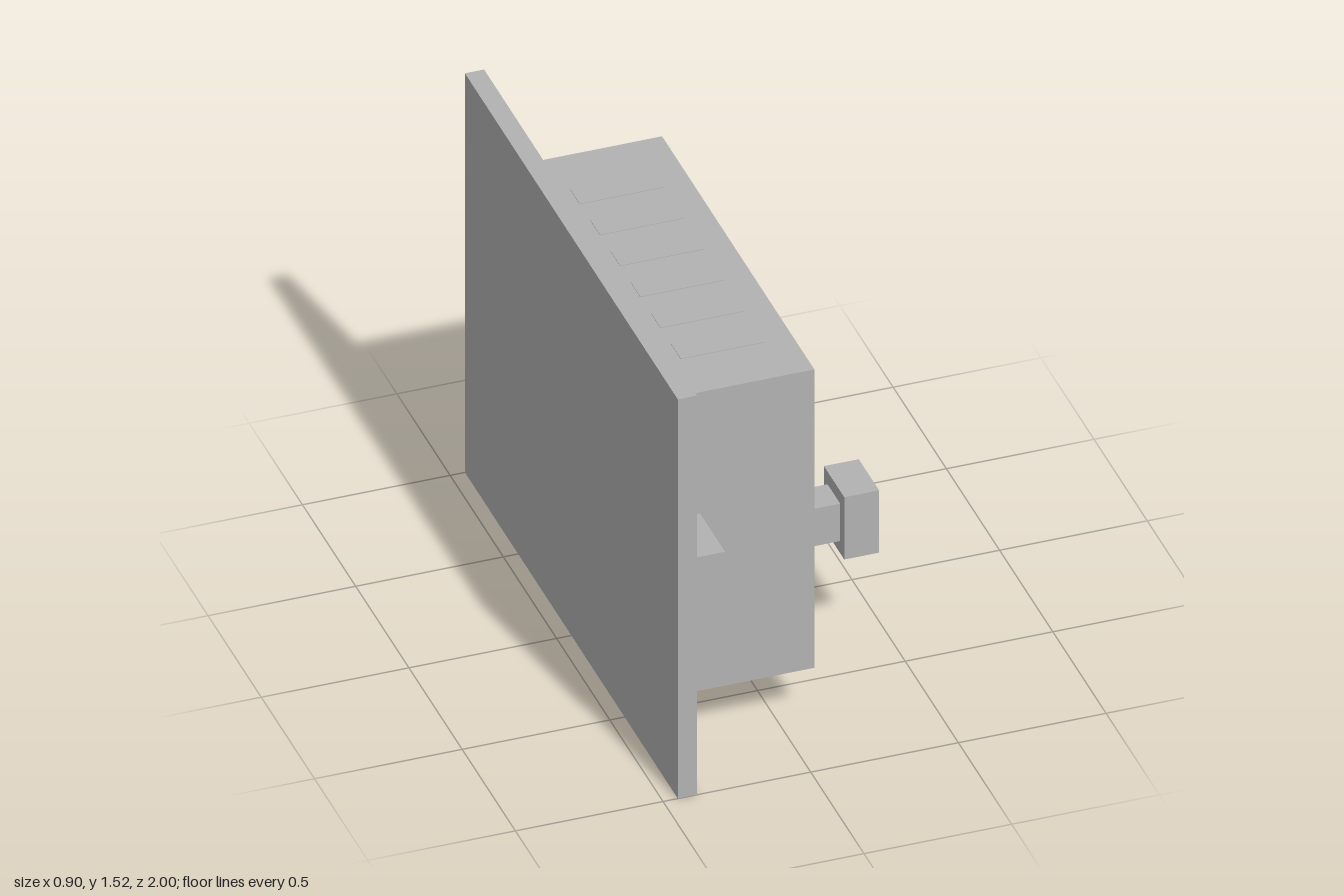
import * as THREE from 'three';

export function createModel() {
  const model = new THREE.Group();
  model.name = 'wallControlBox';
  const grey = new THREE.MeshStandardMaterial({ color: 0xb2b2b2 });
  grey.name = 'grey';

  // Box given by its extents on each axis
  function block(name, [x0, x1], [y0, y1], [z0, z1]) {
    const mesh = new THREE.Mesh(new THREE.BoxGeometry(x1 - x0, y1 - y0, z1 - z0), grey);
    mesh.position.set((x0 + x1) / 2, (y0 + y1) / 2, (z0 + z1) / 2);
    mesh.name = name;
    model.add(mesh);
  }

  // Mounting plate and main housing
  block('backPlate', [-0.45, -0.385], [0, 1.525], [-1, 1]);
  block('housing', [-0.385, 0.115], [0.195, 1.335], [-0.715, 0.715]);

  // Side brackets on the plate
  block('frontBracket', [-0.385, -0.29], [0.62, 0.907], [0.765, 1]);
  block('backBracket', [-0.385, -0.29], [0.62, 0.907], [-1, -0.765]);

  // Vent slats, flush on the top and bottom
  const thin = 0.002;
  for (let i = 0; i < 6; i++) {
    const z = -0.48 + i * 0.19;
    block('topVent', [-0.265, 0.02], [1.335, 1.335 + thin], [z - 0.045, z + 0.045]);
    block('bottomVent', [-0.265, 0.02], [0.195 - thin, 0.195], [z - 0.045, z + 0.045]);
  }

  // Row of three buttons
  for (let i = 0; i < 3; i++) {
    const z = -0.094 - i * 0.166;
    block('button', [0.115, 0.153], [1.145, 1.24], [z - 0.047, z + 0.047]);
  }

  // Display with its screen
  block('displayFrame', [0.115, 0.14], [0.907, 1.098], [0.287, 0.572]);
  block('displayScreen', [0.14, 0.14 + thin], [0.931, 1.074], [0.312, 0.55]);

  // Lever switch
  block('switchPlate', [0.115, 0.14], [0.29, 0.668], [0.12, 0.477]);
  block('switchStem', [0.14, 0.332], [0.407, 0.55], [0.237, 0.356]);
  block('switchKnob', [0.332, 0.45], [0.36, 0.598], [0.203, 0.394]);

  return model;
}
